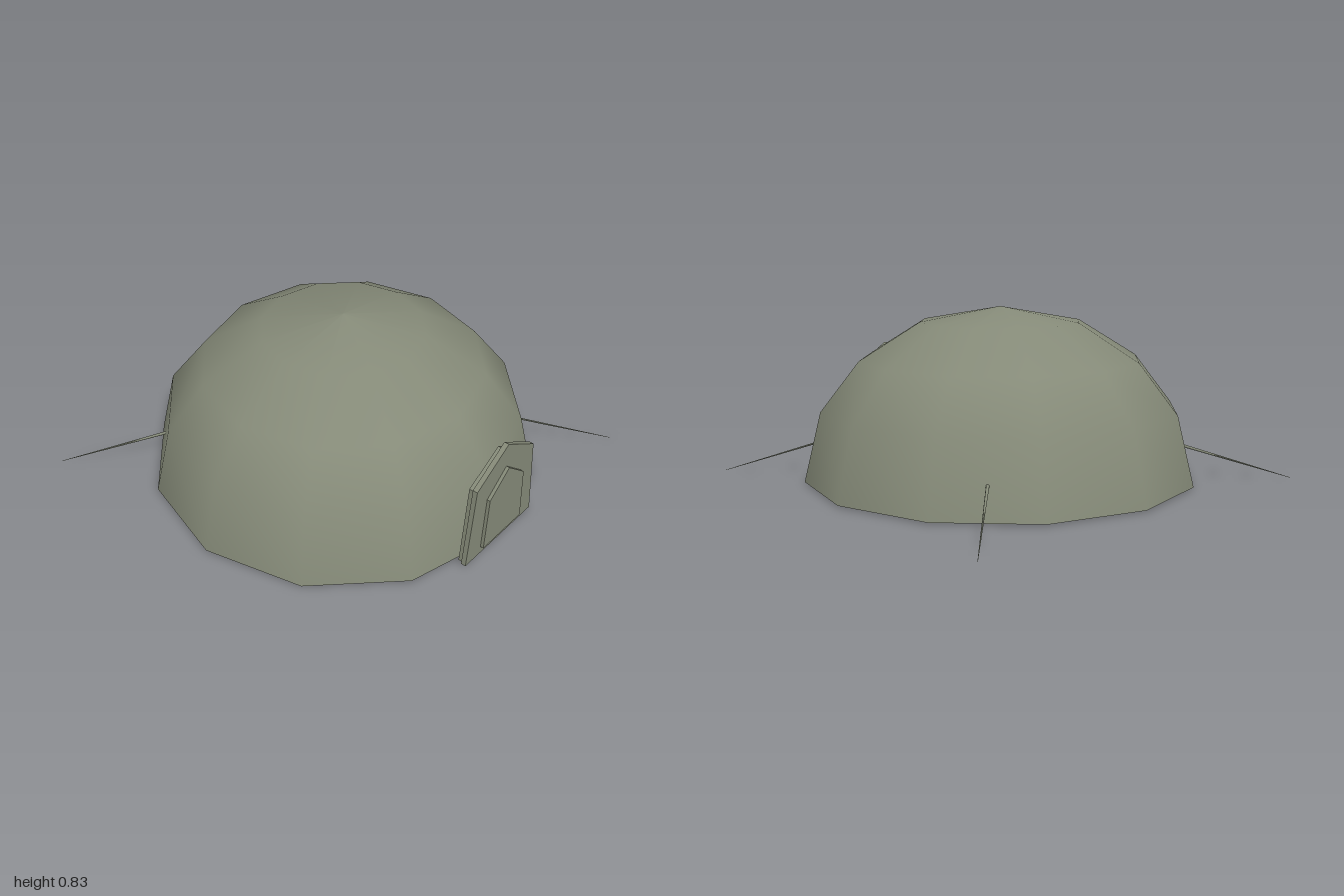
import * as THREE from 'three';

export function createModel() {
  const model = new THREE.Group();
  const canvas = new THREE.MeshStandardMaterial({ color: 0x858a78 });
  canvas.name = 'olive canvas';

  const add = (name, geometry) => {
    const mesh = new THREE.Mesh(geometry, canvas);
    mesh.name = name;
    model.add(mesh);
    return mesh;
  };

  // Twelve-sided dome with a shallow peak
  const profile = [[0.948, 0.01], [0.867, 0.343], [0.682, 0.58], [0.39, 0.76], [0, 0.83]]
    .map(([r, y]) => new THREE.Vector2(r, y));
  add('dome', new THREE.LatheGeometry(profile, 12));

  // Flat floor
  const floor = add('floor', new THREE.CircleGeometry(0.948, 12));
  floor.rotation.x = Math.PI / 2;
  floor.position.y = 0.01;

  // Five-sided gabled panel standing between two depths
  function gable(name, base, foot, shoulder, shoulderY, peak, zBack, zFront) {
    const shape = new THREE.Shape([
      [-base, foot], [base, foot], [shoulder, shoulderY], [0, peak], [-shoulder, shoulderY],
    ].map(([x, y]) => new THREE.Vector2(x, y)));
    const geometry = new THREE.ExtrudeGeometry(shape, { depth: zFront - zBack, bevelEnabled: false });
    geometry.translate(0, 0, zBack);
    add(name, geometry);
  }
  gable('porch', 0.235, 0.01, 0.2, 0.42, 0.535, 0.9, 0.945);
  gable('doorFrame', 0.255, 0.02, 0.215, 0.44, 0.575, 0.928, 0.952);
  gable('door', 0.145, 0.06, 0.13, 0.34, 0.45, 0.952, 0.968);

  // Guy lines tapering from the dome to the ground, none at the front right
  const up = new THREE.Vector3(0, 1, 0);
  function guyLine(name, sx, sz, radius, reach) {
    const top = new THREE.Vector3(sx * 0.62, 0.16, sz * 0.62);
    const end = new THREE.Vector3(sx * reach, 0.005, sz * reach);
    const along = end.clone().sub(top);
    const line = add(name, new THREE.CylinderGeometry(0.001, radius, along.length(), 6));
    line.position.copy(top).add(end).multiplyScalar(0.5);
    line.quaternion.setFromUnitVectors(up, along.normalize());
  }
  guyLine('backLeftGuyLine', 1, -1, 0.008, 0.995);
  guyLine('backRightGuyLine', -1, -1, 0.008, 0.995);
  guyLine('frontLeftGuyLine', 1, 1, 0.005, 0.97);

  return model;
}
